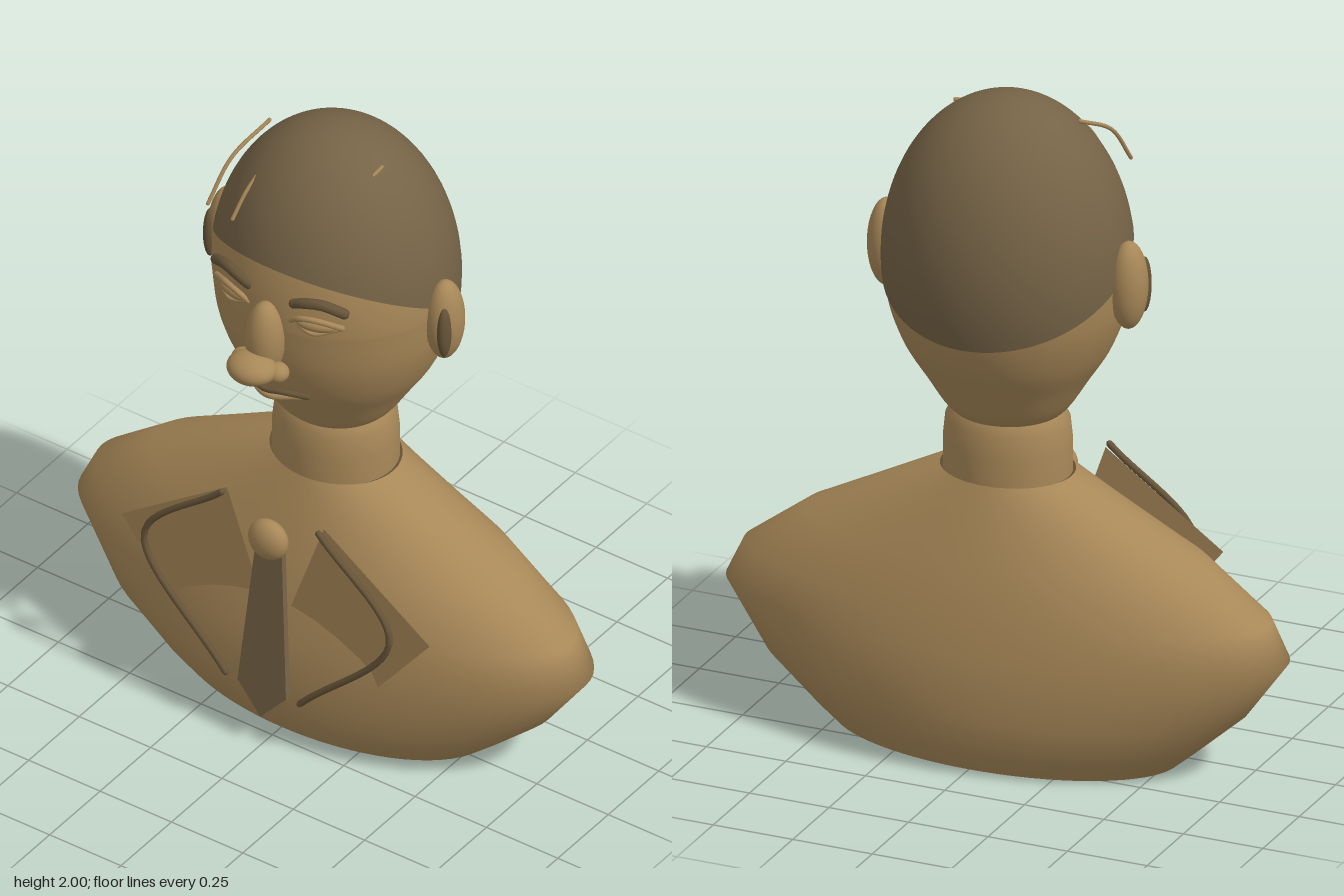
import * as THREE from 'three';

const mat = (name, color, side = THREE.FrontSide) => {
  const m = new THREE.MeshStandardMaterial({ color, side });
  m.name = name;
  return m;
};
const V = (p) => new THREE.Vector3(...p);
const CZ = -0.065; // depth of the bust's vertical axis

// closed rings of points joined upward; point(row, angle) gives each vertex
function loft(rows, point, seg = 72) {
  const pos = [], idx = [];
  for (let i = 0; i < rows; i++)
    for (let j = 0; j < seg; j++) pos.push(...point(i, (j / seg) * Math.PI * 2));
  for (let i = 0; i < rows - 1; i++)
    for (let j = 0; j < seg; j++) {
      const k = (j + 1) % seg;
      const a = i * seg + j, b = a + seg, c = (i + 1) * seg + k, d = i * seg + k;
      idx.push(a, b, c, a, c, d);
    }
  const g = new THREE.BufferGeometry();
  g.setAttribute('position', new THREE.Float32BufferAttribute(pos, 3));
  g.setIndex(idx);
  g.computeVertexNormals();
  return g;
}

// elliptical loft from rows of [y, half width, half depth]
const ellipseLoft = (rows) => loft(rows.length, (i, a) => {
  const [y, rx, rz] = rows[i];
  return [rx * Math.cos(a), y, CZ + rz * Math.sin(a)];
});

export function createModel() {
  const bronze = mat('bronze', 0xa88858);
  const bronzeOpen = mat('bronzeTwoSided', 0xa88858, THREE.DoubleSide);
  const dark = mat('darkBronze', 0x756346, THREE.DoubleSide);
  const line = mat('deepBronze', 0x665438);
  const root = new THREE.Group();
  root.name = 'bust';

  const add = (name, geo, material) => {
    const m = new THREE.Mesh(geo, material);
    m.name = name;
    root.add(m);
    return m;
  };
  const ball = (name, p, r, material) => {
    const m = add(name, new THREE.SphereGeometry(1, 32, 20), material);
    m.position.set(...p);
    m.scale.set(...r);
    return m;
  };
  const tube = (name, pts, r, material) => {
    const path = new THREE.CatmullRomCurve3(pts.map(V));
    add(name, new THREE.TubeGeometry(path, 28, r, 8), material);
    // round ends
    for (const p of [pts[0], pts[pts.length - 1]]) {
      const cap = add(name + 'End', new THREE.SphereGeometry(r, 8, 6), material);
      cap.position.set(...p);
    }
  };

  // torso, open underneath
  add('torso', ellipseLoft([
    [0, 0.53, 0.27], [0.06, 0.6, 0.305], [0.19, 0.745, 0.35], [0.37, 0.875, 0.325],
    [0.485, 0.82, 0.3], [0.63, 0.625, 0.262], [0.845, 0.2, 0.17],
  ]), bronzeOpen);

  // neck
  add('neck', ellipseLoft([
    [0.84, 0.19, 0.17], [0.93, 0.19, 0.17], [1.0, 0.183, 0.163], [1.03, 0.165, 0.147],
  ]), bronze);

  // head: tapered jaw below, half ellipsoid above
  const jaw = new THREE.SplineCurve([
    [0, 0.995], [0.11, 1.003], [0.175, 1.04], [0.243, 1.14], [0.305, 1.24], [0.348, 1.36], [0.365, 1.5],
  ].map((p) => new THREE.Vector2(...p))).getPoints(40);
  const headRows = jaw.map((p) => [p.y, p.x, p.x * 0.93]);
  for (let i = 1; i <= 24; i++) {
    const t = (i / 24) * Math.PI / 2, r = 0.365 * Math.cos(t);
    headRows.push([1.5 + 0.495 * Math.sin(t), r, r * 0.93]);
  }
  add('head', ellipseLoft(headRows), bronze);

  // hair cap, its rim on a plane falling to the back
  const hairRadius = (y) => 0.369 * Math.sqrt(Math.max(0, 1 - ((y - 1.5) / 0.5) ** 2));
  add('hair', loft(29, (i, a) => {
    let rim = 1.5;
    for (let k = 0; k < 12; k++)
      rim = 1.505 + 0.56 * (hairRadius(rim) * 0.93 * Math.sin(a) + CZ + 0.07);
    const t0 = Math.asin((rim - 1.5) / 0.5);
    const y = 1.5 + 0.5 * Math.sin(t0 + (Math.PI / 2 - t0) * (i / 28));
    const r = hairRadius(y);
    return [r * Math.cos(a), y, CZ + r * 0.93 * Math.sin(a)];
  }), dark);

  // loose strands
  [
    [[-0.215, 1.945, -0.04], [-0.255, 1.875, 0.09], [-0.275, 1.755, 0.18]],
    [[-0.145, 1.89, 0.085], [-0.162, 1.83, 0.15], [-0.175, 1.755, 0.2]],
    [[0.175, 1.945, -0.045], [0.15, 1.89, 0.08], [0.128, 1.805, 0.17]],
  ].forEach((p) => tube('hairStrand', p, 0.006, bronze));

  // nose
  ball('noseBridge', [0, 1.458, 0.285], [0.058, 0.127, 0.06], bronze);
  ball('noseTip', [0, 1.393, 0.352], [0.076, 0.045, 0.066], bronze);

  // lips
  tube('upperLip', [[-0.12, 1.272, 0.245], [-0.05, 1.28, 0.277], [0, 1.274, 0.285],
    [0.05, 1.28, 0.277], [0.12, 1.272, 0.245]], 0.009, line);
  tube('lowerLip', [[-0.088, 1.255, 0.24], [0, 1.247, 0.275], [0.088, 1.255, 0.24]], 0.01, bronze);

  // tie and knot
  ball('tieKnot', [0, 0.72, 0.27], [0.065, 0.065, 0.042], bronze);
  const tieShape = new THREE.Shape([
    [-0.045, 0], [-0.085, -0.5], [0, -0.595], [0.085, -0.5], [0.045, 0],
  ].map((p) => new THREE.Vector2(...p)));
  const tie = add('tie', new THREE.ExtrudeGeometry(tieShape, { depth: 0.02, bevelEnabled: false }), dark);
  tie.position.set(0, 0.695, 0.248);
  tie.rotation.x = -0.07;

  // paired parts
  for (const [s, side] of [[1, 'left'], [-1, 'right']]) {
    const mx = (pts) => pts.map(([x, y, z]) => [s * x, y, z]);

    // ears
    ball(side + 'Ear', [s * 0.38, 1.475, -0.067], [0.056, 0.135, 0.063], bronze);
    ball(side + 'EarHollow', [s * 0.41, 1.465, -0.022], [0.019, 0.085, 0.025], line);
    ball(side + 'Nostril', [s * 0.06, 1.376, 0.31], [0.035, 0.03, 0.034], bronze);

    // eyes, lids and brows
    const eye = ball(side + 'Eye', [s * 0.145, 1.542, 0.238], [0.062, 0.022, 0.025], bronze);
    eye.rotation.y = s * 0.3;
    tube(side + 'UpperLid', mx([[0.075, 1.542, 0.262], [0.11, 1.565, 0.268],
      [0.155, 1.571, 0.258], [0.22, 1.545, 0.215]]), 0.009, bronze);
    tube(side + 'LowerLid', mx([[0.085, 1.535, 0.257], [0.145, 1.518, 0.255],
      [0.21, 1.537, 0.215]]), 0.007, bronze);
    tube(side + 'Brow', mx([[0.08, 1.6, 0.256], [0.12, 1.617, 0.256],
      [0.17, 1.622, 0.242], [0.225, 1.598, 0.212]]), 0.016, line);

    // lapel plate and its piping
    const lapel = new THREE.Shape([
      [0.17, 0.81], [0.54, 0.55], [0.24, 0.17], [0.11, 0.13], [0.04, 0.44],
    ].map(([x, y]) => new THREE.Vector2(s * x, y)));
    add(side + 'Lapel', new THREE.ShapeGeometry(lapel), bronzeOpen).position.z = 0.235;
    tube(side + 'LapelPiping', mx([[0.17, 0.81, 0.262], [0.43, 0.55, 0.278],
      [0.13, 0.2, 0.298]]), 0.01, line);
  }
  return root;
}
